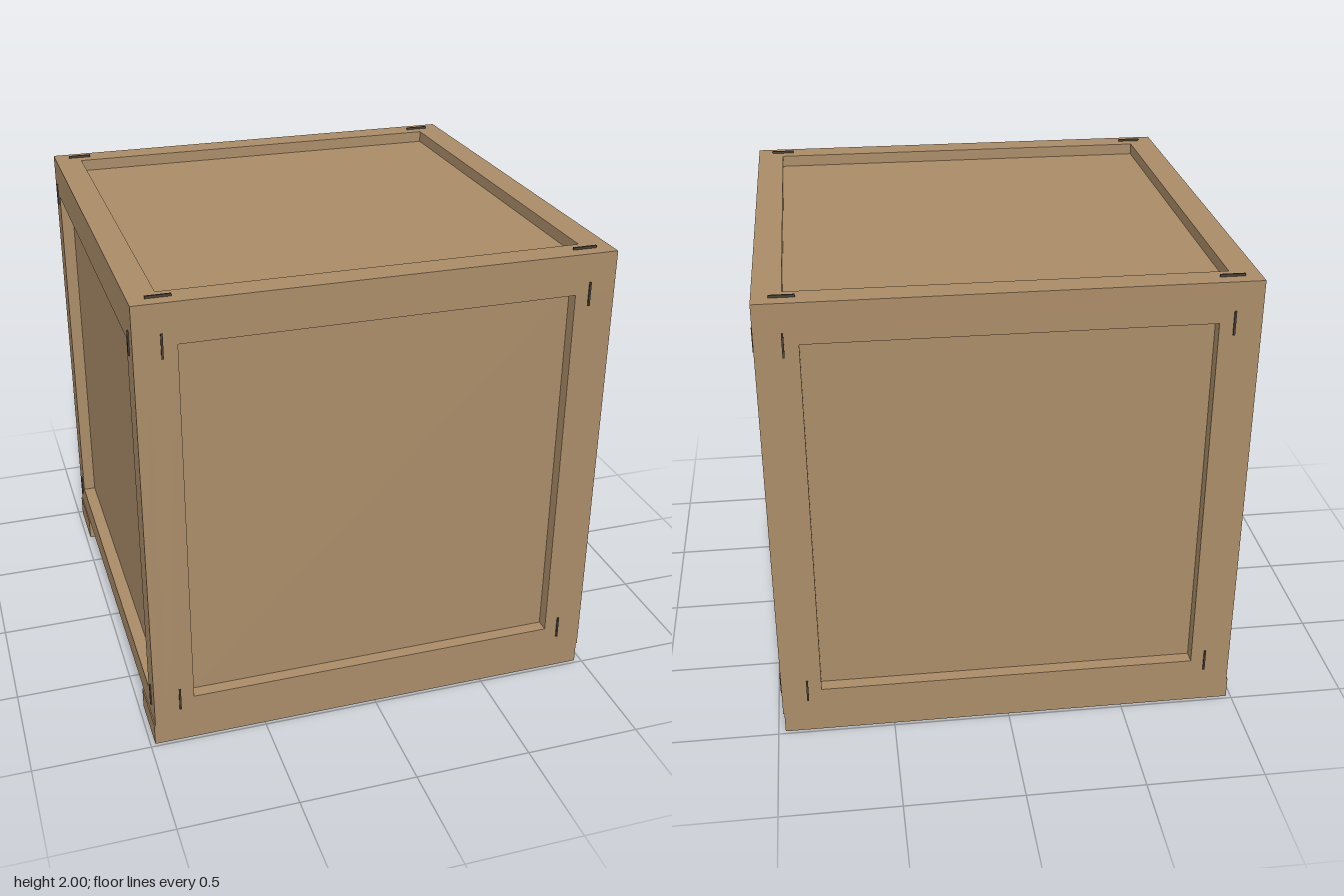
import * as THREE from 'three';

const wood = new THREE.MeshStandardMaterial({ color: 0xaa8c68 });
const metal = new THREE.MeshStandardMaterial({ color: 0x4a4036 });

// Box given by its minimum and maximum along each axis
function block(parent, name, [x0, x1], [y0, y1], [z0, z1], material = wood) {
  const mesh = new THREE.Mesh(new THREE.BoxGeometry(x1 - x0, y1 - y0, z1 - z0), material);
  mesh.position.set((x0 + x1) / 2, (y0 + y1) / 2, (z0 + z1) / 2);
  mesh.name = name;
  parent.add(mesh);
}

// Range measured outwards from the centre, flipped for the negative side
const side = (s, a, b) => (s > 0 ? [a, b] : [-b, -a]);
const around = (c, half) => [c - half, c + half];

export function createModel() {
  const crate = new THREE.Group();
  crate.name = 'crate';

  const X = 0.975, Z = 0.985;          // outer half sizes
  const IX = 0.92, IZ = 0.93;          // inner box half sizes
  const BOTTOM = 0.095, LID = 1.94, TOP = 1.99;
  const RAIL_LOW = 0.21, RAIL_HIGH = 1.82;

  // Plywood box behind the frames
  block(crate, 'panelBox', [-IX, IX], [BOTTOM, LID], [-IZ, IZ]);

  for (const s of [1, -1]) {
    const end = s > 0 ? 'front' : 'back';
    const flank = s > 0 ? 'left' : 'right';

    // Front and back frames, set between the side frames
    block(crate, end + 'TopRail', [-IX, IX], [RAIL_HIGH, LID], side(s, IZ, Z));
    block(crate, end + 'BottomRail', [-IX, IX], [BOTTOM, RAIL_LOW], side(s, IZ, Z));

    // Side frames, running the full depth
    block(crate, flank + 'TopRail', side(s, IX, X), [RAIL_HIGH, LID], [-Z, Z]);
    block(crate, flank + 'BottomRail', side(s, IX, X), [BOTTOM, RAIL_LOW], [-Z, Z]);

    // Lid frame
    block(crate, flank + 'LidBatten', side(s, 0.86, X), [LID, TOP], [-Z, Z]);
    block(crate, end + 'LidBatten', [-0.86, 0.86], [LID, TOP], side(s, 0.87, Z));

    // Skid under the front or back edge
    block(crate, end + 'Skid', [-0.98, 0.97], [0, BOTTOM], side(s, 0.725, Z));

    for (const t of [1, -1]) {
      // Uprights of the end and side frames
      block(crate, end + 'Upright', side(t, 0.805, IX), [RAIL_LOW, RAIL_HIGH], side(s, IZ, Z));
      block(crate, flank + 'Upright', side(s, IX, X), [RAIL_LOW, RAIL_HIGH], side(t, 0.87, Z));

      // Staples across the frame joints
      block(crate, 'lidStaple', around(s * 0.86, 0.05), [TOP - 0.01, 2], around(t * 0.925, 0.004), metal);
      for (const y of [RAIL_LOW, RAIL_HIGH]) {
        block(crate, end + 'Staple', around(t * 0.865, 0.004), around(y, 0.05), side(s, Z - 0.01, Z + 0.006), metal);
        block(crate, flank + 'Staple', side(s, X - 0.01, X + 0.006), around(y, 0.05), around(t * 0.92, 0.004), metal);
      }
    }
  }
  return crate;
}
